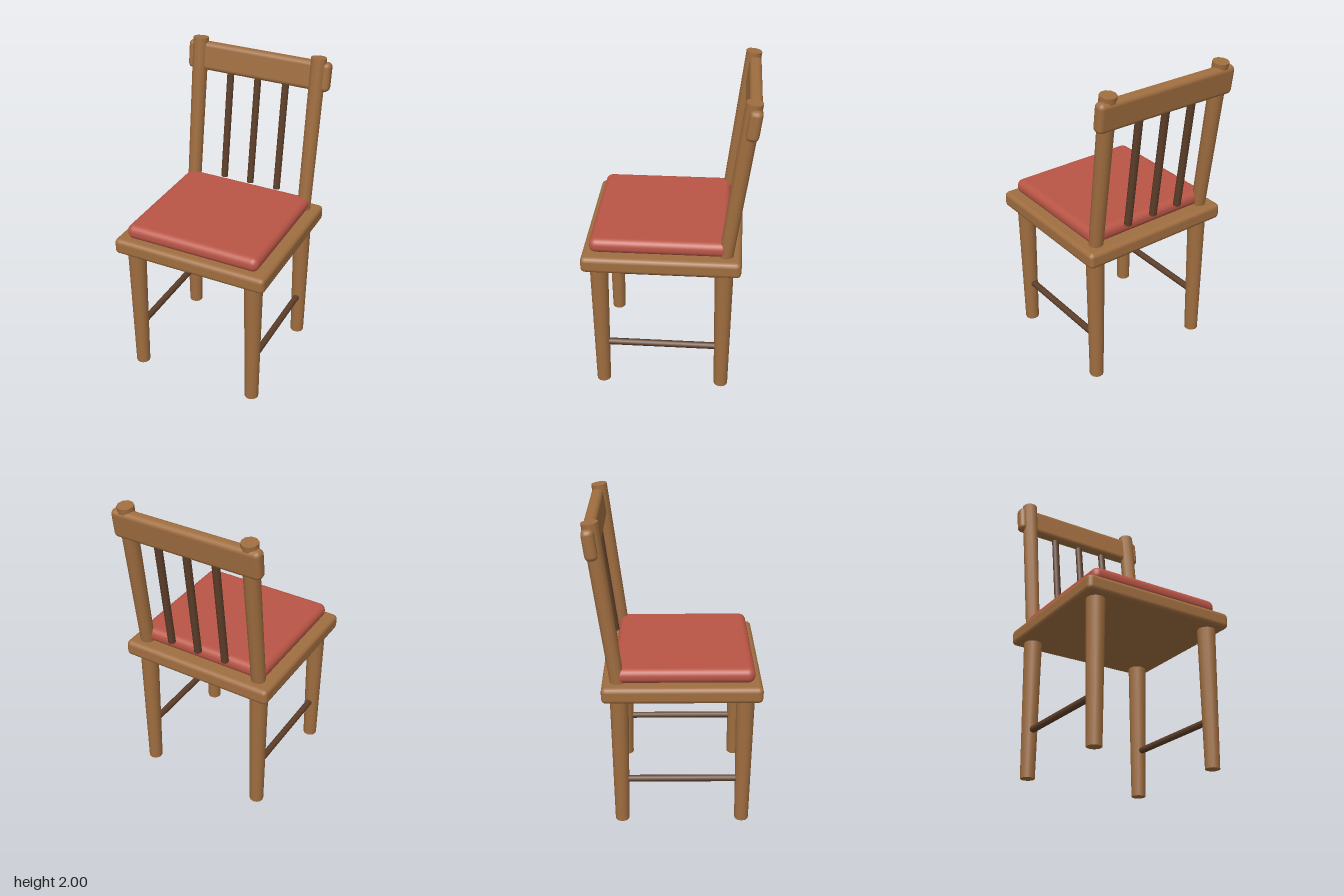
import * as THREE from 'three';
import { RoundedBoxGeometry } from 'three/addons/geometries/RoundedBoxGeometry.js';

export function createModel() {
  const material = (name, color) => {
    const m = new THREE.MeshStandardMaterial({ color });
    m.name = name;
    return m;
  };
  const wood = material('oak wood', 0xa06e40);
  const darkWood = material('dark wood', 0x5e3f2a);
  const fabric = material('red fabric', 0xb95546);

  const chair = new THREE.Group();
  chair.name = 'chair';
  const tilt = -0.127; // backward lean of the backrest

  function add(name, geometry, mat, x, y, z, rotX = 0) {
    const mesh = new THREE.Mesh(geometry, mat);
    mesh.name = name;
    mesh.position.set(x, y, z);
    mesh.rotation.x = rotX;
    chair.add(mesh);
    return mesh;
  }
  // Round bar with a side vertex facing x
  const bar = (rTop, rBottom, length, sides) =>
    new THREE.CylinderGeometry(rTop, rBottom, length, sides, 1, false, Math.PI / 2);

  // Seat board and cushion
  add('seat', new RoundedBoxGeometry(1.02, 0.105, 0.975, 2, 0.03), wood, 0, 0.942, 0.043);
  add('cushion', new RoundedBoxGeometry(0.892, 0.096, 0.85, 4, 0.044), fabric, 0, 1.038, 0.06);

  // Legs, side stretchers and back posts
  const legGeometry = bar(0.058, 0.045, 0.91, 12);
  const stretcherGeometry = bar(0.022, 0.022, 0.72, 8);
  const postGeometry = bar(0.051, 0.045, 1.02, 10);
  for (const [side, s] of [['left', 1], ['right', -1]]) {
    add(side + 'FrontLeg', legGeometry, wood, s * 0.405, 0.455, 0.43);
    add(side + 'BackLeg', legGeometry, wood, s * 0.405, 0.455, -0.34);
    add(side + 'Stretcher', stretcherGeometry, darkWood, s * 0.405, 0.3, 0.045, Math.PI / 2);
    add(side + 'BackPost', postGeometry, wood, s * 0.405, 1.488, -0.412, tilt);
  }

  // Top rail and spindles
  add('topRail', new RoundedBoxGeometry(0.974, 0.185, 0.076, 2, 0.03), wood, 0, 1.875, -0.478, tilt);
  const spindleGeometry = bar(0.024, 0.024, 0.76, 8);
  for (const x of [-0.192, 0, 0.192]) {
    add('spindle', spindleGeometry, darkWood, x, 1.447, -0.432, tilt);
  }
  return chair;
}
